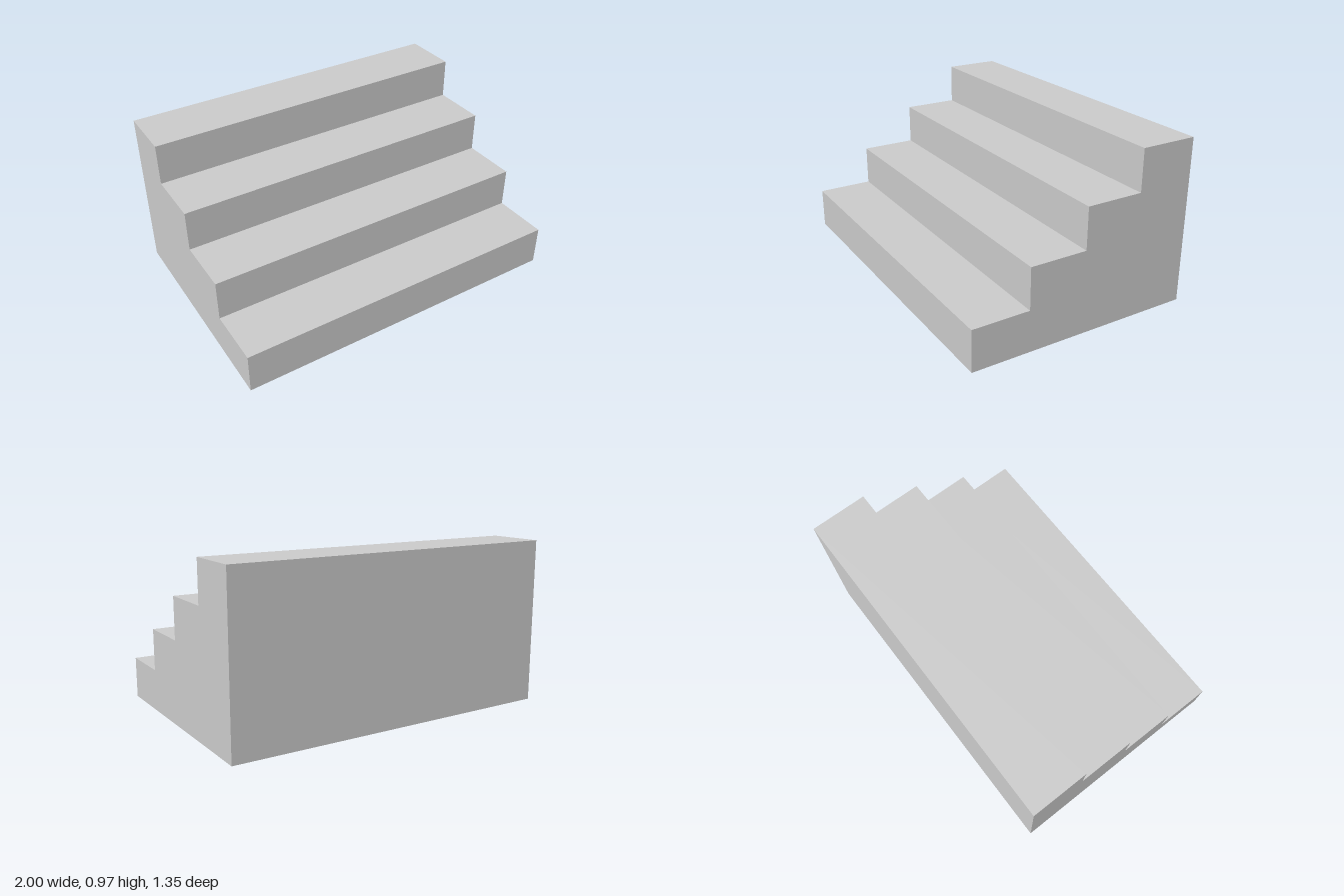
import * as THREE from 'three';

const STEPS = 4;
const WIDTH = 2;
const DEPTH = 1.348;
const HEIGHT = 0.973;

export function createModel() {
  const group = new THREE.Group();
  group.name = 'staircase';

  // Side profile: flat base and back, steps rising from front to back
  const tread = DEPTH / STEPS;
  const riser = HEIGHT / STEPS;
  const profile = new THREE.Shape();
  profile.moveTo(-DEPTH / 2, 0);
  profile.lineTo(DEPTH / 2, 0);
  for (let i = 0; i < STEPS; i++) {
    const front = DEPTH / 2 - i * tread;
    const top = (i + 1) * riser;
    profile.lineTo(front, top);
    profile.lineTo(front - tread, top);
  }
  profile.closePath();

  // Solid block of steps, extruded across the width
  const geometry = new THREE.ExtrudeGeometry(profile, { depth: WIDTH, bevelEnabled: false });
  geometry.translate(0, 0, -WIDTH / 2);
  geometry.rotateY(-Math.PI / 2);

  const material = new THREE.MeshStandardMaterial({ color: 0xcccccc, flatShading: true });
  const steps = new THREE.Mesh(geometry, material);
  steps.name = 'steps';
  group.add(steps);
  return group;
}
